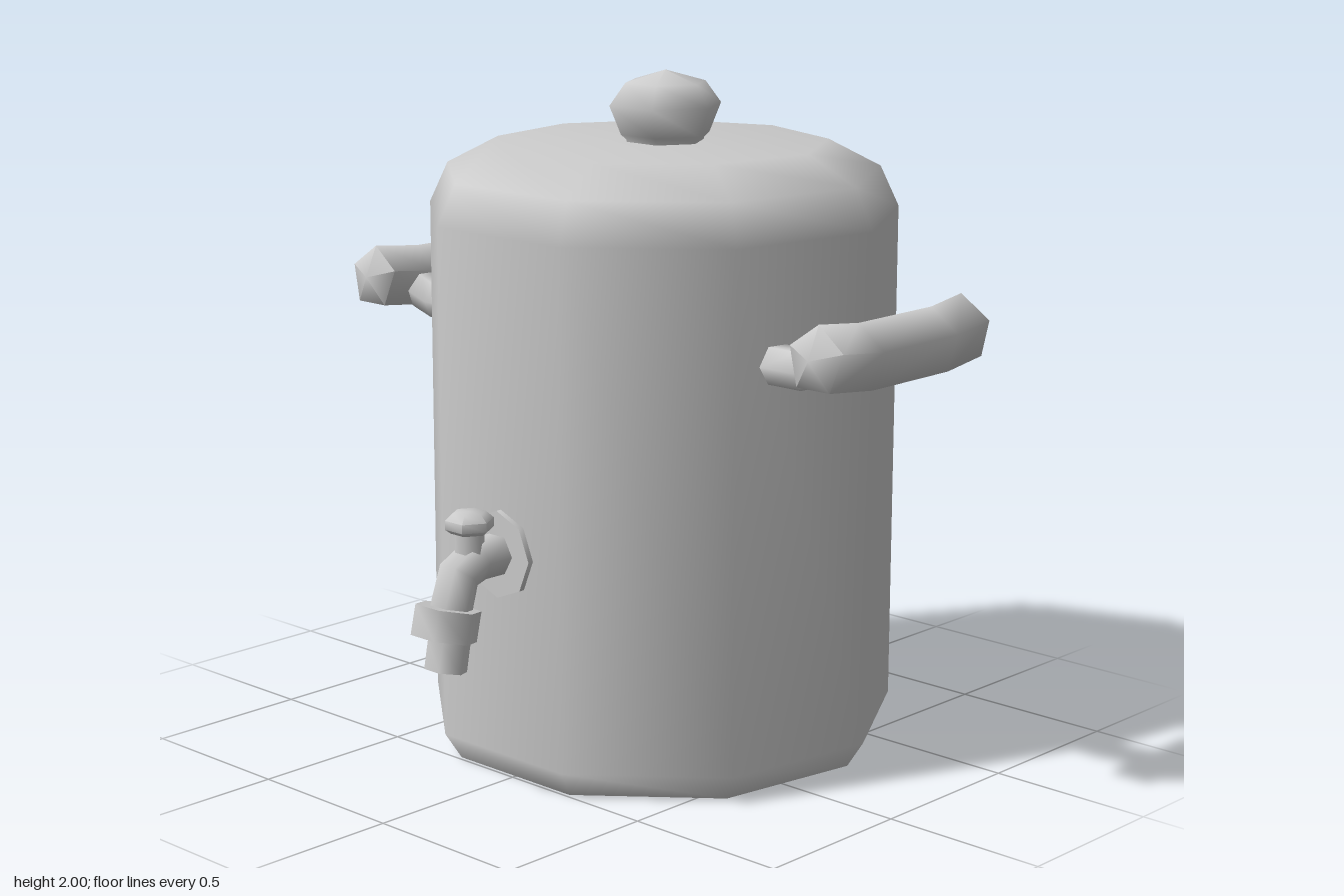
import * as THREE from 'three';
import { toCreasedNormals } from 'three/addons/utils/BufferGeometryUtils.js';

const material = new THREE.MeshStandardMaterial({ color: 0xcccccc });
const openMaterial = new THREE.MeshStandardMaterial({ color: 0xcccccc, side: THREE.DoubleSide });
const V = (x, y, z) => new THREE.Vector3(x, y, z);
const X = V(1, 0, 0);
const Z = V(0, 0, 1);

function part(name, geometry, mat = material) {
  const mesh = new THREE.Mesh(geometry, mat);
  mesh.name = name;
  return mesh;
}

// Round profile of [radius, y] pairs; the first corner sits at angle start from +z.
function turned(profile, sides, start) {
  return new THREE.LatheGeometry(profile.map(([r, y]) => new THREE.Vector2(r, y)), sides, start);
}

// Polygonal tube along a path lying in the plane square to `side`;
// each end closes on a point pushed out by `tip`.
function sweep(path, side, radius, sides, startAngle = 0, tip = 0) {
  const position = [];
  const index = [];
  const last = path.length - 1;
  const tangents = path.map((p, i) =>
    path[Math.min(i + 1, last)].clone().sub(path[Math.max(i - 1, 0)]).normalize());
  path.forEach((p, i) => {
    const up = tangents[i].clone().cross(side);
    for (let j = 0; j < sides; j++) {
      const a = startAngle + (j / sides) * Math.PI * 2;
      const v = p.clone().addScaledVector(side, radius * Math.cos(a)).addScaledVector(up, radius * Math.sin(a));
      position.push(v.x, v.y, v.z);
    }
  });
  const first = path[0].clone().addScaledVector(tangents[0], -tip);
  const end = path[last].clone().addScaledVector(tangents[last], tip);
  position.push(...first.toArray(), ...end.toArray());
  const c0 = path.length * sides;
  for (let j = 0; j < sides; j++) {
    const k = (j + 1) % sides;
    for (let i = 0; i < last; i++) {
      const a = i * sides;
      const b = a + sides;
      index.push(a + j, a + k, b + j, a + k, b + k, b + j);
    }
    index.push(c0, k, j, c0 + 1, last * sides + j, last * sides + k);
  }
  const geometry = new THREE.BufferGeometry();
  geometry.setAttribute('position', new THREE.Float32BufferAttribute(position, 3));
  geometry.setIndex(index);
  return toCreasedNormals(geometry, 1.3);
}

// Side handle: a grip bent slightly upward at its ends, on two bent arms.
function handle(name) {
  const group = new THREE.Group();
  group.name = name;
  const grip = [[1.323, -0.425], [1.303, -0.28], [1.303, 0.045], [1.323, 0.22]].map(([y, z]) => V(0.885, y, z));
  group.add(part('grip', sweep(grip, X, 0.098, 5, Math.PI / 2, 0.032)));
  for (const z of [0.083, -0.305]) {
    const arm = [[0.62, 1.255], [0.74, 1.255], [0.80, 1.275], [0.88, 1.31]].map(([x, y]) => V(x, y, z));
    group.add(part('arm', sweep(arm, Z, 0.061, 6)));
  }
  return group;
}

function tap() {
  const group = new THREE.Group();
  group.name = 'tap';
  const inPlane = (points) => points.map(([y, z]) => V(0, y, z));

  // Wall plate and bent spout
  group.add(part('wallPlate', sweep(inPlane([[0.683, 0.515], [0.683, 0.553]]), X, 0.128, 8)));
  const spout = [[0.685, 0.54], [0.685, 0.635], [0.655, 0.70], [0.565, 0.73], [0.47, 0.74], [0.387, 0.756]];
  group.add(part('spout', sweep(inPlane(spout), X, 0.062, 6)));
  group.add(part('collar', sweep(inPlane([[0.568, 0.741], [0.482, 0.761]]), X, 0.096, 6)));

  // Valve stem and button
  const stem = part('valveStem', turned([[0.042, 0.68], [0.042, 0.785]], 6, Math.PI / 2));
  const button = part('valveButton', toCreasedNormals(
    turned([[0, 0.77], [0.055, 0.77], [0.07, 0.782], [0.07, 0.808], [0.048, 0.828], [0, 0.83]], 6, Math.PI / 2), 1.2));
  stem.position.z = button.position.z = 0.657;
  group.add(stem, button);
  return group;
}

export function createModel() {
  const model = new THREE.Group();
  model.name = 'dispenserPot';

  // Nine-sided shell, open underneath
  const body = part('body', turned([
    [0.657, 0], [0.708, 0.08], [0.708, 1.59], [0.652, 1.71], [0.495, 1.792], [0, 1.794],
  ], 9, Math.PI), openMaterial);
  body.position.set(-0.005, 0, -0.13);
  model.add(body);

  // Six-sided lid knob
  const knob = part('lidKnob', turned([
    [0.115, 1.77], [0.118, 1.8], [0.135, 1.815], [0.17, 1.9], [0.122, 1.965], [0, 2],
  ], 6, Math.PI / 2));
  knob.position.z = -0.143;
  model.add(knob);

  // Mirrored handles
  const right = handle('rightHandle');
  right.scale.x = -1;
  model.add(handle('leftHandle'), right);

  model.add(tap());
  return model;
}
